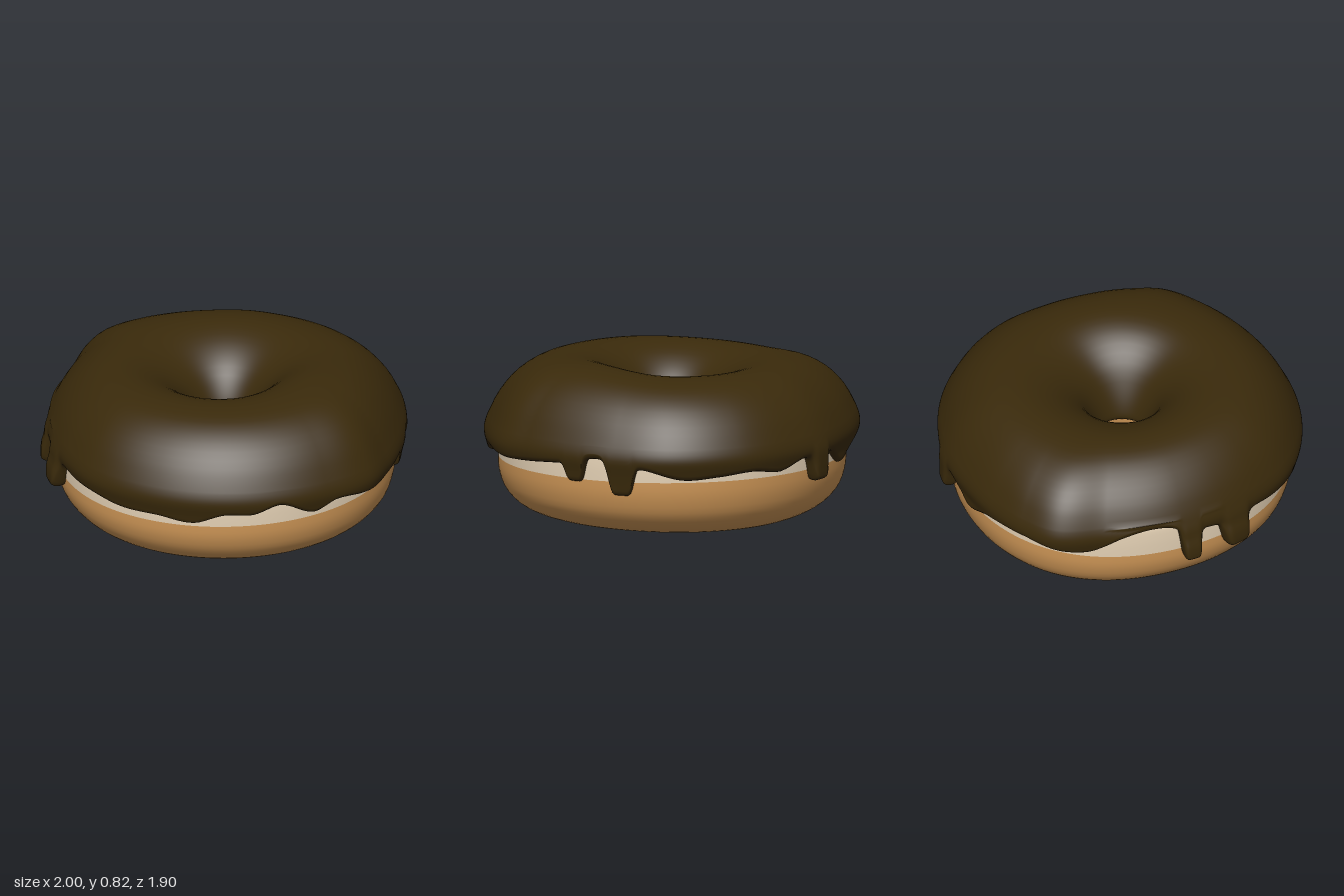
import * as THREE from 'three';

const SEGMENTS = 720;
const smooth = THREE.MathUtils.smoothstep;

// Smooth periodic curve through [degrees, value] keys
function ringCurve(keys) {
  const n = keys.length;
  const at = (i) => {
    const turn = Math.floor(i / n);
    const k = keys[i - turn * n];
    return [k[0] + 360 * turn, k[1]];
  };
  const slope = (i) => {
    const a = at(i - 1), b = at(i + 1);
    return (b[1] - a[1]) / (b[0] - a[0]);
  };
  return (deg) => {
    let i = -1;
    while (at(i + 1)[0] <= deg) i++;
    const [d0, v0] = at(i), [d1, v1] = at(i + 1);
    const h = d1 - d0, t = (deg - d0) / h, t2 = t * t, t3 = t2 * t;
    return v0 * (2 * t3 - 3 * t2 + 1) + v1 * (3 * t2 - 2 * t3)
      + h * (slope(i) * (t3 - 2 * t2 + t) + slope(i + 1) * (t3 - t2));
  };
}

// Resampled smooth profile of [radius, height] points
function profile(points, count) {
  const curve = new THREE.SplineCurve(points.map(([r, y]) => new THREE.Vector2(r, y)));
  return curve.getPoints(count).map((p) => [p.x, p.y]);
}

// Closed ring surface; section(deg) gives the [radius, height] rows at one angle
function ringSurface(section) {
  const positions = [], index = [];
  let rows = 0;
  for (let i = 0; i < SEGMENTS; i++) {
    const deg = -180 + (360 * i) / SEGMENTS;
    const a = THREE.MathUtils.degToRad(deg);
    const points = section(deg);
    rows = points.length;
    for (const [r, y] of points) {
      const shift = 1 - smooth(r, 0.15, 0.5); // hole sits slightly off centre
      positions.push(r * Math.sin(a) + 0.02 * shift, y, r * Math.cos(a) + 0.012 * shift);
    }
  }
  // Row by row, so that bands of rows can take their own material
  for (let j = 0; j < rows - 1; j++) {
    for (let i = 0; i < SEGMENTS; i++) {
      const a = i * rows + j, b = ((i + 1) % SEGMENTS) * rows + j;
      index.push(a, b, b + 1, a, b + 1, a + 1);
    }
  }
  const geometry = new THREE.BufferGeometry();
  geometry.setAttribute('position', new THREE.Float32BufferAttribute(positions, 3));
  geometry.setIndex(index);
  geometry.computeVertexNormals();
  return geometry;
}

// Outlines around the ring, 0 degrees = front, 90 = model's left
const doughRadius = ringCurve([
  [-180, 0.88], [-135, 0.87], [-90, 0.9], [-45, 0.862], [0, 0.882],
  [45, 0.89], [90, 0.9], [135, 0.885],
]);
const icingRadius = ringCurve([
  [-180, 0.952], [-158, 0.927], [-145, 0.925], [-128, 0.92], [-112, 0.945], [-99, 0.98], [-87, 1.0],
  [-72, 0.93], [-46, 0.905], [-30, 0.905], [-15, 0.92], [0, 0.942], [25, 0.945], [45, 0.952],
  [65, 0.965], [80, 0.98], [96, 1.003], [108, 0.97], [124, 0.945], [140, 0.945], [158, 0.965],
]);
const crestLift = ringCurve([
  [-180, 0], [-120, -0.005], [-60, -0.015], [0, 0], [60, 0.012], [108, 0.03], [150, 0.005],
]);
const hemHeight = ringCurve([
  [-174, 0.36], [-163, 0.34], [-153, 0.385], [-137, 0.38], [-127, 0.295],
  [-114, 0.36], [-97, 0.385], [-78, 0.345], [-67, 0.42], [-59, 0.452], [-52, 0.452],
  [-47, 0.43], [-35, 0.385], [-17, 0.38], [-10, 0.365], [0, 0.355], [12, 0.33], [25, 0.33],
  [37, 0.31], [47, 0.365], [56, 0.365], [65, 0.41], [76, 0.335], [84, 0.38], [96, 0.36],
  [105, 0.365], [115, 0.38], [121, 0.39], [134, 0.43], [150, 0.385], [162, 0.335], [174, 0.345],
]);
// Drips: angle, half width in degrees, lowest height, how far they stand out
const drips = [
  [-43.2, 3.3, 0.235, 0.045], [-26, 4.8, 0.23, 0.045], [125.5, 3.2, 0.3, 0.005],
  [142, 4.2, 0.245, 0.005], [-145, 3.9, 0.255, 0.035],
];

// Dough: lower part up to the seam, then the pale band that runs under the icing
const LOWER = 36;
const lowerDough = profile([
  [0.16, 0.5], [0.145, 0.38], [0.17, 0.25], [0.23, 0.15], [0.325, 0.07], [0.455, 0.015],
  [0.585, 0], [0.7, 0.012], [0.795, 0.055], [0.865, 0.13], [0.896, 0.21], [0.9, 0.28],
], LOWER);
const upperDough = profile([[0.9, 0.28], [0.897, 0.38], [0.88, 0.46], [0.79, 0.59], [0.6, 0.66]], 14).slice(1);

function doughSection(deg) {
  const grow = doughRadius(deg) - 0.9;
  const a = THREE.MathUtils.degToRad(deg);
  const seam = 0.018 - 0.018 * Math.cos(a);
  const dip = 0.004 * (1 - Math.cos(2 * a - 0.7));
  return [...lowerDough, ...upperDough].map(([r, y]) => [
    r + grow * smooth(r, 0.3, 0.88),
    y + seam * smooth(y, 0.1, 0.28) * smooth(r, 0.6, 0.85)
      + dip * (1 - smooth(y, 0, 0.15)) * smooth(r, 0.3, 0.5),
  ]);
}

// Icing: rounded hem on the dough, side wall, then over the crest into the hole
const icingTop = profile([
  [0.982, 0.5], [0.928, 0.6], [0.84, 0.695], [0.72, 0.763], [0.58, 0.79], [0.45, 0.782],
  [0.33, 0.735], [0.225, 0.645], [0.16, 0.53], [0.129, 0.43], [0.131, 0.39], [0.165, 0.37],
], 32);
const wall = ringCurve([[0.15, 0.965], [0.25, 0.965], [0.35, 0.982], [0.43, 1.0], [0.5, 0.982], [0.6, 0.928]]);

function icingSection(deg) {
  const grow = icingRadius(deg) - 1;
  let hem = hemHeight(deg), bulge = 0;
  for (const [angle, width, low, stand] of drips) {
    const weight = 1 / (1 + Math.pow(Math.abs(deg - angle) / width, 8));
    hem += (low - hem) * weight;
    bulge += stand * weight;
  }
  const inner = doughRadius(deg) - 0.015;
  const lip = 0.028;
  const wallAt = (y) => Math.max(wall(y) + grow, inner + 0.045) + bulge * (1 - smooth(y, 0.3, 0.48));
  const outer = wallAt(hem + lip);
  const rows = [];
  for (let k = 0; k <= 7; k++) {
    const t = (Math.PI * k) / 7;
    const mid = (outer + inner) / 2, half = (outer - inner) / 2;
    rows.push([mid - half * Math.cos(t), hem + lip - lip * Math.sin(t)]);
  }
  for (let k = 1; k < 10; k++) {
    const y = hem + lip + ((0.5 - hem - lip) * k) / 10;
    rows.push([wallAt(y), y]);
  }
  const lift = crestLift(deg);
  for (const [r, y] of icingTop) {
    rows.push([r + grow * smooth(r, 0.35, 0.95), y + lift * smooth(y, 0.48, 0.79)]);
  }
  return rows;
}

export function createModel() {
  const bakedDough = new THREE.MeshStandardMaterial({ name: 'baked dough', color: 0xcb9455 });
  const paleDough = new THREE.MeshStandardMaterial({ name: 'pale dough', color: 0xe2cfb3 });
  const chocolate = new THREE.MeshStandardMaterial({ name: 'chocolate icing', color: 0x3a2a0b });

  const doughGeometry = ringSurface(doughSection);
  const split = LOWER * SEGMENTS * 6;
  doughGeometry.addGroup(0, split, 0);
  doughGeometry.addGroup(split, doughGeometry.index.count - split, 1);
  const dough = new THREE.Mesh(doughGeometry, [bakedDough, paleDough]);
  dough.name = 'dough';

  const icing = new THREE.Mesh(ringSurface(icingSection), chocolate);
  icing.name = 'icing';

  const model = new THREE.Group();
  model.name = 'doughnut';
  model.add(dough, icing);
  return model;
}
